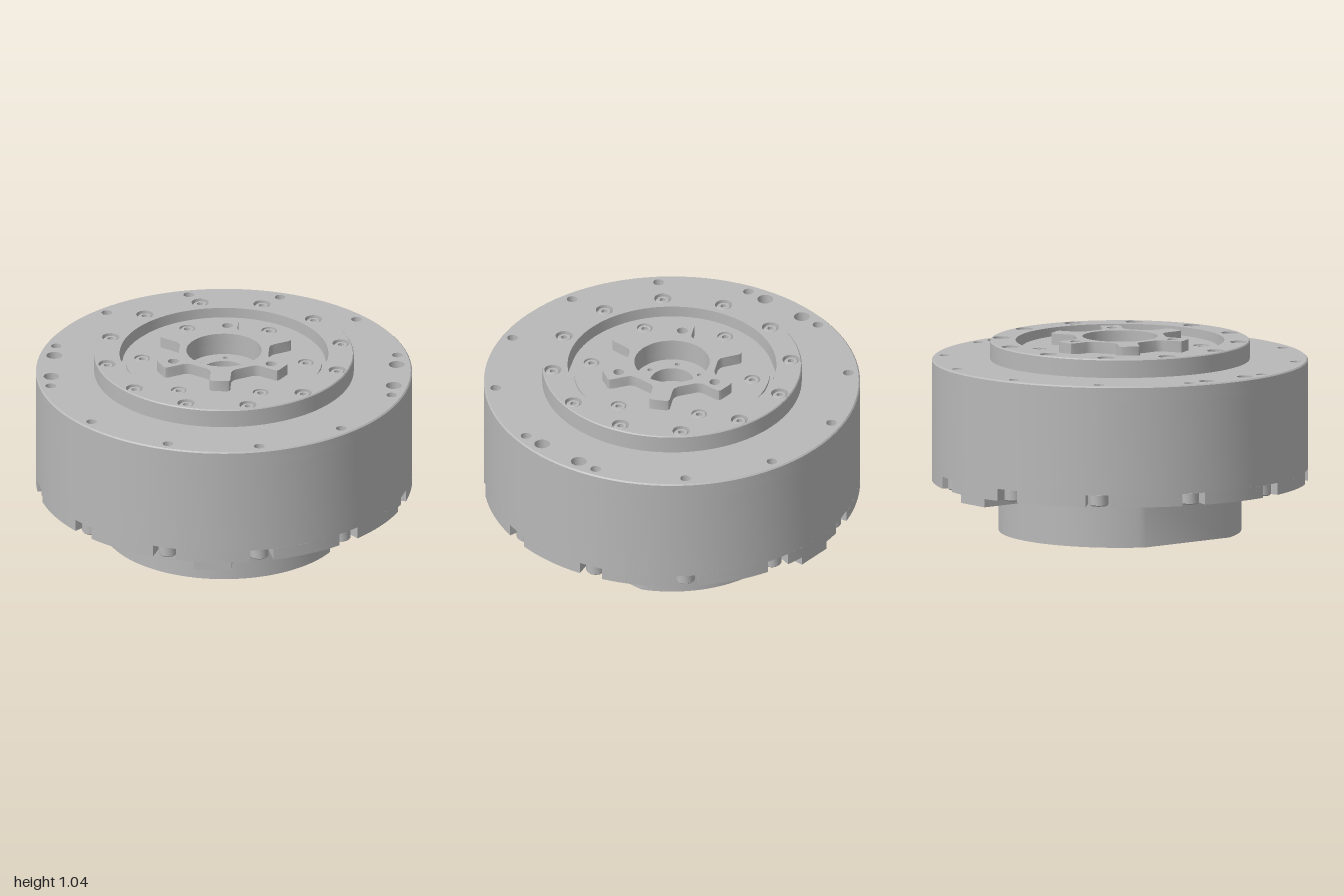
import * as THREE from 'three';
import { toCreasedNormals } from 'three/addons/utils/BufferGeometryUtils.js';

const grey = new THREE.MeshStandardMaterial({ color: 0xb8b8b8 });
grey.name = 'satin grey metal';

const rad = THREE.MathUtils.degToRad;
const polar = (r, deg) => new THREE.Vector2(r * Math.cos(rad(deg)), r * Math.sin(rad(deg)));
// evenly spaced angles in degrees
const around = (n, start) => Array.from({ length: n }, (_, k) => start + (k * 360) / n);
const circle = (r, c = new THREE.Vector2(), n = 20) =>
  Array.from({ length: n }, (_, i) => polar(r, (i * 360) / n).add(c));
// rectangle with optionally rounded ends
const slot = (x0, x1, y0, y1, round) => {
  const r = round ? (y1 - y0) / 2 : 0, pts = [];
  if (!round) return [[x0, y0], [x1, y0], [x1, y1], [x0, y1]].map(p => new THREE.Vector2(...p));
  for (let i = 0; i <= 8; i++) pts.push(polar(r, -90 + i * 22.5).add(new THREE.Vector2(x1 - r, y0 + r)));
  for (let i = 0; i <= 8; i++) pts.push(polar(r, 90 + i * 22.5).add(new THREE.Vector2(x0 + r, y0 + r)));
  return pts;
};

function extrude(outline, holes, depth, bevel = 0) {
  const shape = new THREE.Shape(outline);
  shape.holes = holes.map(h => new THREE.Path(h));
  const geo = new THREE.ExtrudeGeometry(shape, {
    depth: depth - bevel, bevelEnabled: bevel > 0, bevelThickness: bevel,
    bevelSize: bevel, bevelOffset: -bevel, bevelSegments: 1,
  });
  return geo;
}

export function createModel() {
  const model = new THREE.Group();
  model.name = 'flangedActuator';

  const add = (name, geo, parent = model) => {
    const mesh = new THREE.Mesh(toCreasedNormals(geo, 0.5), grey);
    mesh.name = name;
    parent.add(mesh);
    return mesh;
  };
  // horizontal slab between two heights
  const slab = (name, outline, holes, y0, y1) =>
    add(name, extrude(outline, holes, y1 - y0).rotateX(-Math.PI / 2).translate(0, y0, 0));
  const lathe = (name, pts, seg = 96, parent = model) =>
    add(name, new THREE.LatheGeometry(pts.map(p => new THREE.Vector2(...p)), seg), parent);
  // socket-head screw with its top at y = 0
  const screw = (name, r, h, parent) => lathe(name, [[0, -h], [r, -h], [r, -0.006], [r - 0.006, 0],
    [r * 0.45, 0], [r * 0.45, -0.018], [0, -0.018]], 20, parent);
  const screwCircle = (name, angles, ringR, r, h, y, down) => {
    const group = new THREE.Group();
    group.name = name;
    for (const a of angles) {
      const p = polar(ringR, a), s = screw(name + 'Head', r, h, group);
      s.position.set(p.x, y, -p.y);
      if (down) s.rotation.x = Math.PI;
    }
    model.add(group);
  };

  const twelve = around(12, 15);

  // main drum
  lathe('mainBody', [[0, 0.335], [1, 0.335], [1, 0.84], [0, 0.84]]);

  // top plate with mounting holes, bore and chamfered rim
  const topHoles = [
    ...twelve.map(a => circle(0.028, polar(0.94, a))),
    ...[8, 172, 188, 352].map(a => circle(0.042, polar(0.92, a))),
    ...around(6, 30).map(a => circle(0.014, polar(0.155, a), 12)),
    circle(0.115, undefined, 48),
  ];
  slab('topPlate', circle(0.993, undefined, 96), topHoles, 0.84, 0.92);
  lathe('topRim', [[0.993, 0.84], [1, 0.84], [1, 0.913], [0.993, 0.92]]);

  // lower rim with notches for the screws
  const rim = [];
  const half = 0.065, depthR = 0.88, open = THREE.MathUtils.radToDeg(Math.asin(half));
  for (const a of twelve) {
    for (let i = 0; i <= 8; i++) rim.push(polar(1, a - 30 + open + (i / 8) * (30 - 2 * open)));
    for (const s of [-1, 1])
      rim.push(new THREE.Vector2(depthR, s * half).rotateAround(new THREE.Vector2(), rad(a)));
  }
  slab('notchedLowerRim', rim, twelve.map(a => circle(0.022, polar(0.93, a - 8), 16)), 0.27, 0.335);
  screwCircle('lowerRimScrew', twelve, 0.94, 0.05, 0.06, 0.272, true);

  // raised clamping ring
  slab('clampRing', circle(0.685, undefined, 96),
    [circle(0.555, undefined, 96), ...twelve.map(a => circle(0.046, polar(0.635, a)))], 0.92, 1.02);
  lathe('clampRingEdge', [[0.685, 0.92], [0.69, 0.92], [0.69, 1.014], [0.685, 1.02]]);
  screwCircle('clampRingScrew', twelve, 0.635, 0.037, 0.08, 1.012);

  // bearing seal in the groove
  lathe('bearingSeal', [[0.54, 0.92], [0.54, 0.965], [0.52, 0.965]]);

  // output disc
  slab('outputDisc', circle(0.522, undefined, 96),
    [circle(0.2, undefined, 64), ...around(6, 0).map(a => circle(0.042, polar(0.435, a)))], 0.92, 0.98);
  screwCircle('outputDiscScrew', around(6, 0), 0.435, 0.039, 0.05, 0.976);

  // six-armed output hub
  const armSide = [[0.075, 0.232], [0.06, 0.25], [0.055, 0.27], [0.055, 0.358], [0.05, 0.372], [0.038, 0.377]];
  const arm = [...armSide, ...armSide.map(([u, v]) => [-u, v]).reverse()];
  const star = around(6, 0).flatMap(a =>
    arm.map(([u, v]) => new THREE.Vector2(u, v).rotateAround(new THREE.Vector2(), rad(a))));
  slab('outputHub', star,
    [circle(0.2, undefined, 64), ...around(3, 90).map(a => circle(0.029, polar(0.3, a)))], 0.98, 1.04);

  // rear cover: round with two flats, pocketed on the +x side for the sockets
  const R = 0.645, flat = 0.58, cut = THREE.MathUtils.radToDeg(Math.acos(flat / R));
  const cover = [];
  for (const start of [cut, 180 + cut])
    for (let i = 0; i <= 40; i++) cover.push(polar(R, start + (i / 40) * (180 - 2 * cut)));
  for (const p of [[flat, -0.24], [0.53, -0.24], [0.53, 0.24], [flat, 0.24]]) cover.push(new THREE.Vector2(...p));
  const coverScrews = around(4, 45);
  slab('rearCover', cover, coverScrews.map(a => circle(0.024, polar(0.6, a), 16)), 0, 0.27);
  screwCircle('rearCoverScrew', coverScrews, 0.6, 0.022, 0.05, 0.008, true);

  // socket panel set into the flat
  const panel = extrude(slot(-0.24, 0.24, 0, 0.27), [
    slot(-0.22, -0.007, 0.115, 0.195), slot(0.007, 0.22, 0.115, 0.195),
    slot(-0.165, -0.035, 0.025, 0.075, true), slot(0, 0.15, 0.025, 0.075, true),
  ], 0.05);
  add('socketPanel', panel.rotateY(Math.PI / 2).translate(0.53, 0, 0));

  // power sockets: a signal block and two round contacts each
  for (const z of [0.112, -0.115]) {
    const socket = new THREE.Group();
    socket.name = 'powerSocket';
    socket.position.set(0, 0.155, z);
    const block = extrude(slot(-0.024, 0.024, -0.034, 0.034),
      [-0.014, 0.014].map(y => circle(0.007, new THREE.Vector2(0, y), 10)), 0.045);
    add('signalBlock', block.rotateY(Math.PI / 2).translate(0.53, 0, 0.073), socket);
    for (const dz of [0.018, -0.062]) {
      const pin = screw('contact', 0.025, 0.045, socket);
      pin.rotation.z = -Math.PI / 2;
      pin.position.set(0.574, 0, dz);
    }
    model.add(socket);
  }
  const tongue = extrude(slot(-0.15, -0.05, 0.036, 0.052, true), [], 0.035);
  add('dataPortTongue', tongue.rotateY(Math.PI / 2).translate(0.53, 0, 0));

  // cable tabs under the drum, front and back
  for (const s of [1, -1])
    add('cableTab', new THREE.BoxGeometry(0.2, 0.047, 0.385).translate(0, 0.2485, s * 0.8025));

  return model;
}
